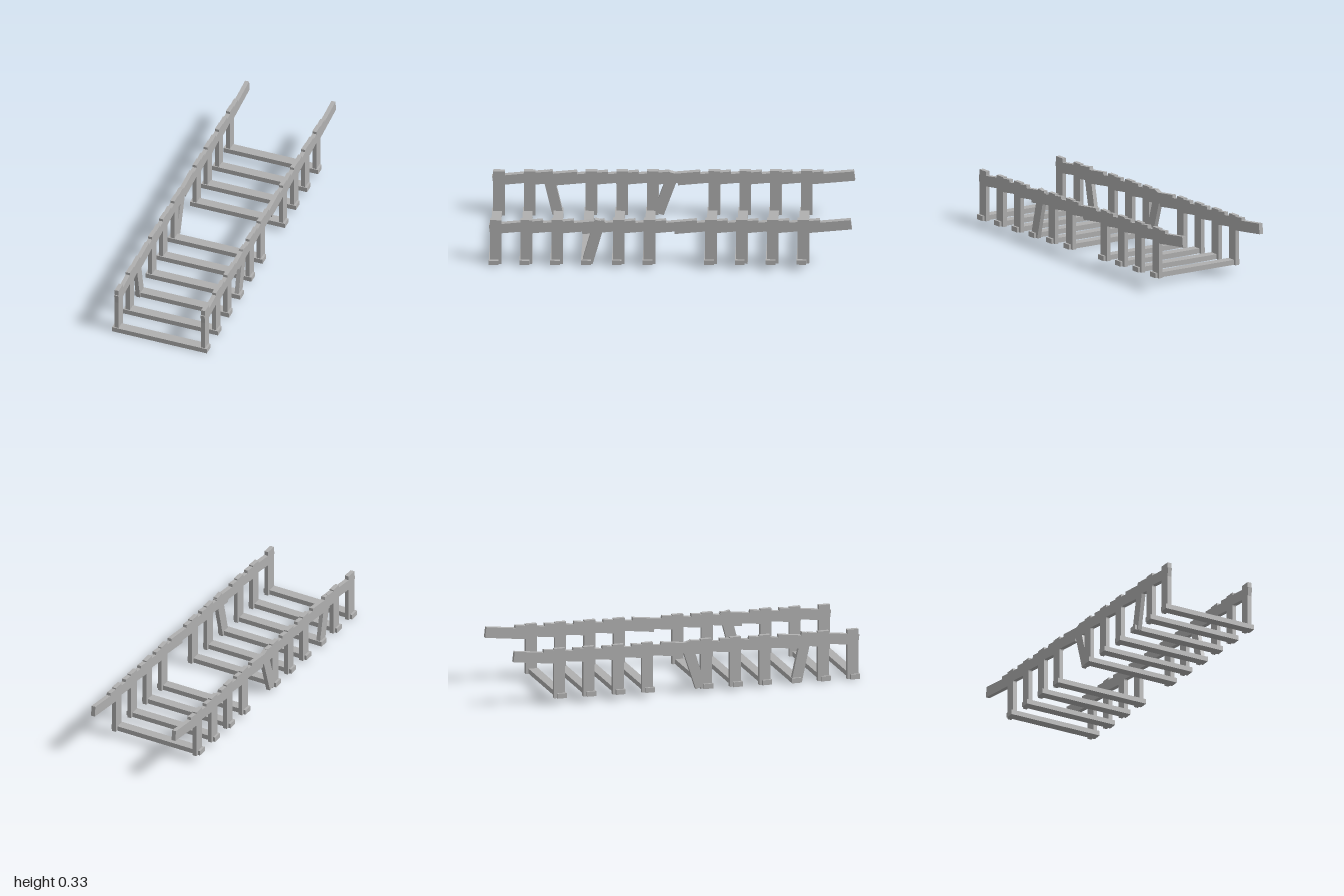
import * as THREE from 'three';

export function createModel() {
  const model = new THREE.Group();
  model.name = 'trestleRailing';
  const grey = new THREE.MeshStandardMaterial({ color: 0xb0b0b0 });
  grey.name = 'plain grey';

  const STEP = 0.1695, RISE = 0.004, RAIL_X = 0.255, THICK = 0.024;

  // Box centred at x, y, z and tilted about the x axis
  function box(name, w, h, d, x, y, z, tilt = 0) {
    const mesh = new THREE.Mesh(new THREE.BoxGeometry(w, h, d), grey);
    mesh.name = name;
    mesh.position.set(x, y, z);
    mesh.rotation.x = tilt;
    model.add(mesh);
  }

  // Slanted timber between two (z, y) end points
  function strut(name, x, z0, y0, z1, y1) {
    const length = Math.hypot(z1 - z0, y1 - y0);
    box(name, THICK, length, 0.06, x, (y0 + y1) / 2, (z0 + z1) / 2, Math.atan2(z1 - z0, y1 - y0));
  }

  for (let i = 0; i <= 10; i++) {
    const plankZ = 0.973 - STEP * i;
    const postZ = plankZ - 0.011;
    const base = RISE * i;
    const missing = i === 6; // one bay has lost its plank and posts

    if (!missing) box('crossPlank', 0.56, 0.028, 0.054, 0, base + 0.014, plankZ);

    for (const side of [-1, 1]) {
      const x = side * RAIL_X;
      const fallen = (i === 2 && side < 0) || (i === 3 && side > 0);
      if (!missing && !fallen) box('post', THICK, 0.283, 0.064, x, base + 0.1415, postZ);

      // Overlapping, slightly pitched handrail boards
      box('handrail', THICK, 0.06, 0.3, x, base + 0.239, postZ - 0.1145, 0.12);
    }
  }

  // Crooked posts and one extra brace
  strut('crookedPost', -RAIL_X, 0.638, 0.014, 0.697, 0.286);
  strut('crookedPost', RAIL_X, 0.457, 0.018, 0.387, 0.292);
  strut('brace', -RAIL_X, 0.083, 0.03, -0.002, 0.292);

  return model;
}
